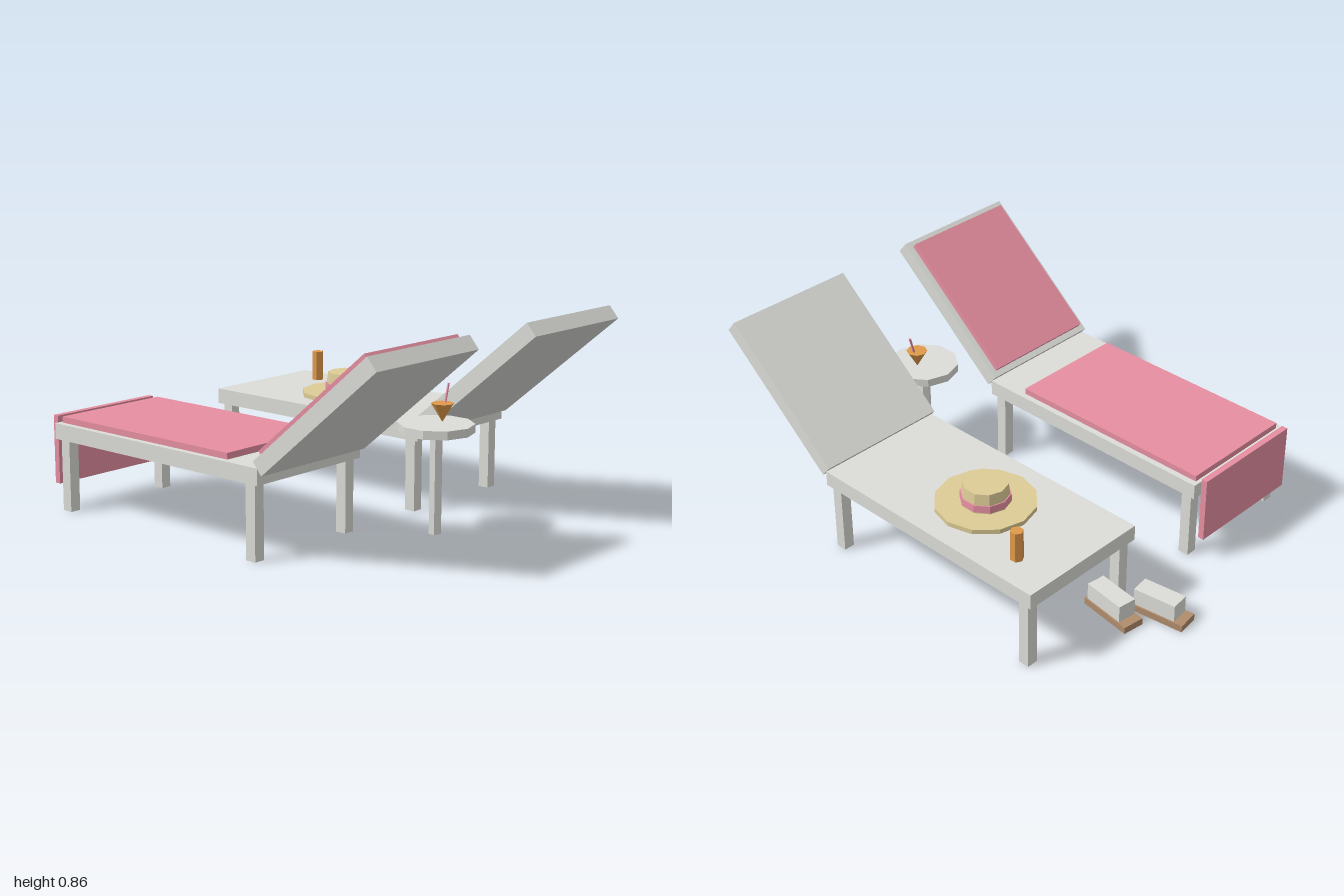
import * as THREE from 'three';

const mat = (name, color) => {
  const m = new THREE.MeshStandardMaterial({ color, flatShading: true });
  m.name = name;
  return m;
};

export function createModel() {
  const grey = mat('paleGrey', 0xdcdcd8);
  const pink = mat('towelPink', 0xe890a2);
  const straw = mat('strawTan', 0xddcc96);
  const orange = mat('orange', 0xe09a4a);
  const brown = mat('soleBrown', 0xb08c6c);

  const model = new THREE.Group();
  model.name = 'poolsideSet';

  const group = (parent, name, x, y, z) => {
    const g = new THREE.Group();
    g.name = name;
    g.position.set(x, y, z);
    parent.add(g);
    return g;
  };
  const add = (parent, name, geo, material, x, y, z) => {
    const m = new THREE.Mesh(geo, material);
    m.name = name;
    m.position.set(x, y, z);
    parent.add(m);
    return m;
  };
  const box = (parent, name, material, w, h, d, x, y, z) =>
    add(parent, name, new THREE.BoxGeometry(w, h, d), material, x, y, z);
  // Faceted cylinder standing between two heights
  const drum = (parent, name, material, rTop, rBottom, y0, y1, sides, x = 0, z = 0) =>
    add(parent, name, new THREE.CylinderGeometry(rTop, rBottom, y1 - y0, sides), material, x, (y0 + y1) / 2, z);

  // Loungers: one with a towel, one bare
  for (const side of [-1, 1]) {
    const lounger = group(model, side < 0 ? 'rightLounger' : 'leftLounger', side * 0.48, 0, 0);
    box(lounger, 'seat', grey, 0.592, 0.067, 1.154, 0, 0.3385, -0.148);
    for (const x of [-0.26, 0.26])
      for (const z of [0.382, -0.677])
        box(lounger, 'leg', grey, 0.048, 0.305, 0.048, x, 0.1525, z);

    const back = group(lounger, 'backrest', 0, 0.603, 0.704);
    back.rotation.x = -0.702;
    box(back, 'backPanel', grey, 0.592, 0.066, 0.72, 0, 0, 0);

    if (side < 0) {
      box(back, 'backTowel', pink, 0.538, 0.025, 0.667, 0, 0.0455, 0);
      box(lounger, 'seatTowel', pink, 0.538, 0.026, 0.957, 0, 0.385, -0.23);
      box(lounger, 'hangingTowel', pink, 0.538, 0.292, 0.027, 0, 0.251, -0.752);
    }
  }

  // Side table with a drink
  const table = group(model, 'sideTable', 0, 0, 0.668);
  drum(table, 'tableTop', grey, 0.153, 0.153, 0.416, 0.451, 10);
  drum(table, 'tablePole', grey, 0.0265, 0.0265, 0, 0.416, 6);
  const drink = group(table, 'drink', 0.037, 0.451, 0);
  drum(drink, 'cocktailGlass', orange, 0.046, 0.001, 0, 0.075, 8);
  const sipper = drum(drink, 'drinkingStraw', pink, 0.005, 0.005, 0.06, 0.152, 6, 0.0255);
  sipper.rotation.z = -0.27;

  // Sun hat on the bare lounger
  const hat = group(model, 'sunHat', 0.48, 0.372, -0.197);
  drum(hat, 'hatBrim', straw, 0.21, 0.21, 0, 0.02, 12);
  drum(hat, 'hatCrown', straw, 0.093, 0.104, 0.02, 0.104, 10);
  drum(hat, 'hatBand', pink, 0.104, 0.106, 0.025, 0.056, 10);

  // Lotion bottle
  drum(model, 'lotionBottle', orange, 0.027, 0.027, 0.372, 0.505, 6, 0.65, -0.534);

  // Pair of shoes on the ground
  for (const [name, x, z, turn] of [['rightShoe', 0.172, -0.871, 0.135], ['leftShoe', 0.302, -0.727, -0.13]]) {
    const shoe = group(model, name, x, 0, z);
    shoe.rotation.y = turn;
    box(shoe, 'sole', brown, 0.094, 0.03, 0.243, 0, 0.015, 0);
    box(shoe, 'upper', grey, 0.082, 0.076, 0.19, 0, 0.067, 0.014);
  }

  return model;
}
